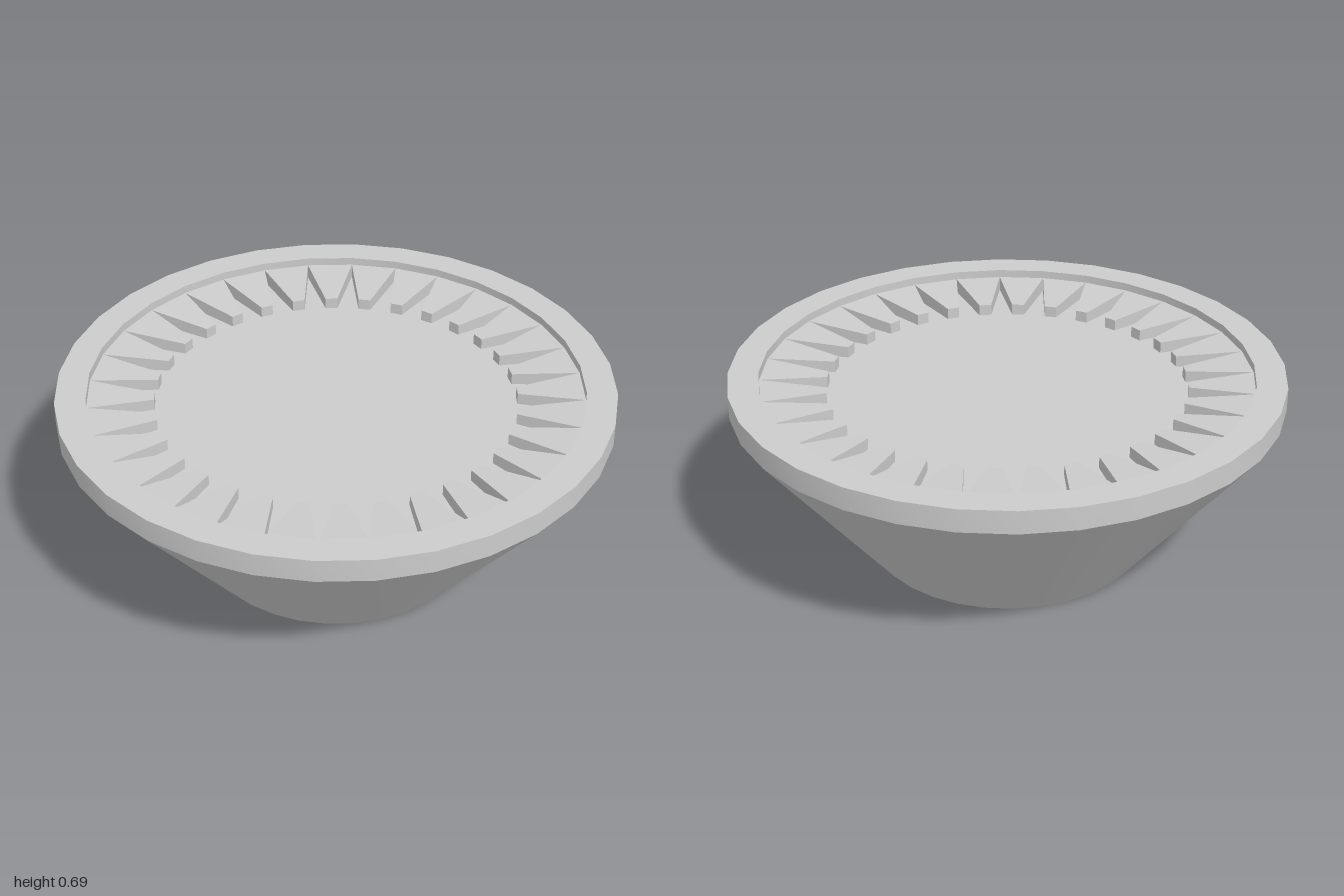
import * as THREE from 'three';
import { toCreasedNormals } from 'three/addons/utils/BufferGeometryUtils.js';

const SIDES = 32;
const FLOOR = 0.61;
const INNER = 0.89;

// Wedge tooth: wide and taller at the rim, narrow at the tip
function toothGeometry() {
  const geo = new THREE.BoxGeometry(1, 1, 1);
  const pos = geo.attributes.position;
  for (let i = 0; i < pos.count; i++) {
    const outer = pos.getZ(i) > 0;
    const top = pos.getY(i) > 0;
    const halfWidth = outer ? INNER * Math.sin(Math.PI / SIDES) : 0.023;
    pos.setXYZ(
      i,
      Math.sign(pos.getX(i)) * halfWidth,
      top ? (outer ? 0.665 : 0.652) : FLOOR,
      outer ? INNER * Math.cos(Math.PI / SIDES) : 0.65
    );
  }
  geo.computeVertexNormals();
  return geo;
}

export function createModel() {
  const model = new THREE.Group();
  const material = new THREE.MeshStandardMaterial({ color: 0xcccccc });

  // Solid tapered body with an upright rim and a shallow recessed floor
  const profile = [
    [0, 0], [0.505, 0], [1, FLOOR], [1, 0.695],
    [INNER, 0.695], [INNER, FLOOR], [0, FLOOR],
  ].map(([r, y]) => new THREE.Vector2(r, y));
  const body = new THREE.Mesh(
    toCreasedNormals(new THREE.LatheGeometry(profile, SIDES), 0.5),
    material
  );
  body.name = 'body';
  model.add(body);

  // Ring of teeth, one per side, pointing inward over the floor
  const teeth = new THREE.Group();
  teeth.name = 'teeth';
  const geo = toothGeometry();
  for (let i = 0; i < SIDES; i++) {
    const tooth = new THREE.Mesh(geo, material);
    tooth.name = 'tooth';
    tooth.rotation.y = ((i + 0.5) * 2 * Math.PI) / SIDES;
    teeth.add(tooth);
  }
  model.add(teeth);

  return model;
}
